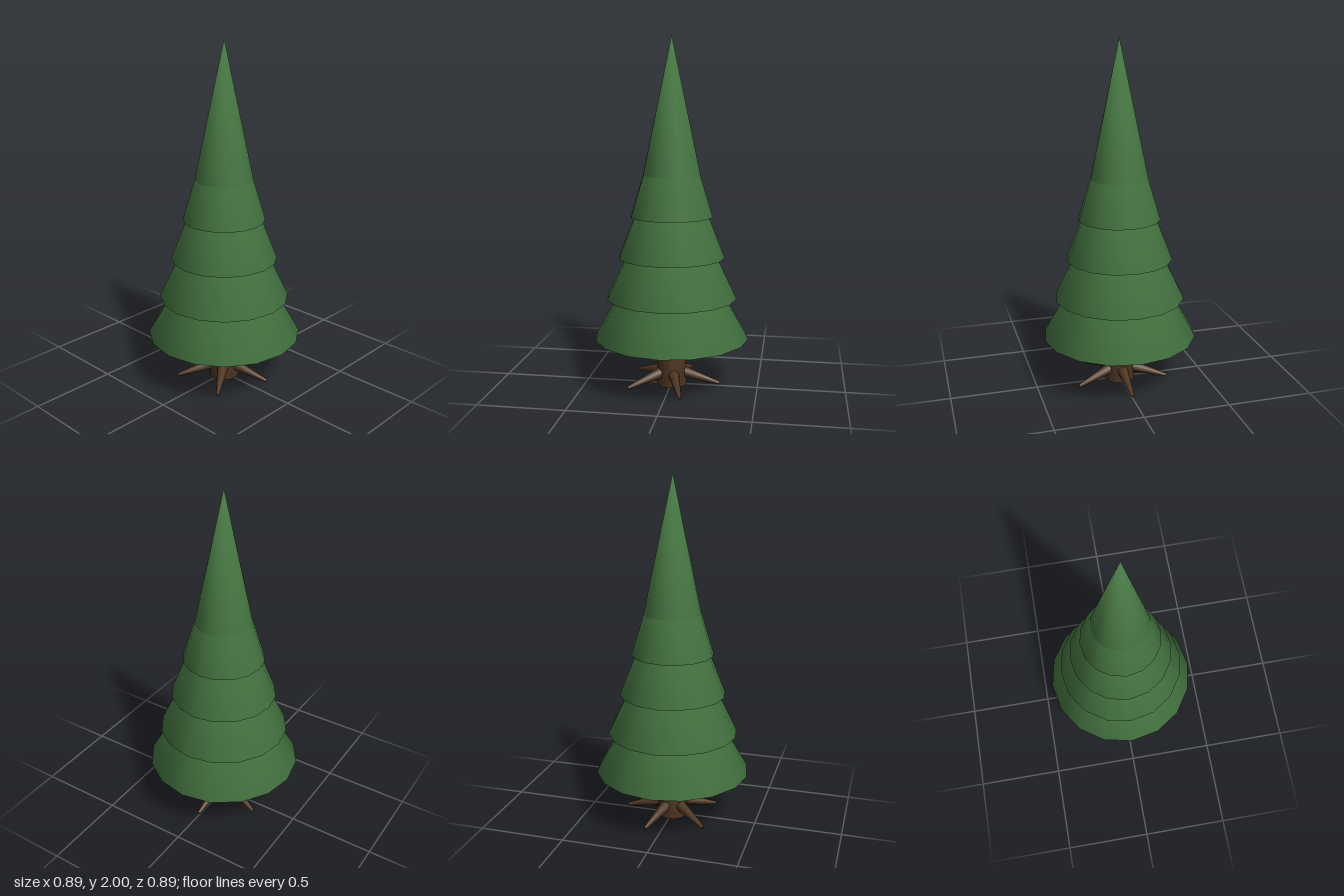
import * as THREE from 'three';
import { mergeVertices } from 'three/addons/utils/BufferGeometryUtils.js';

// Share vertices across seams and rims so the whole surface is smooth.
function smooth(geometry) {
  geometry.deleteAttribute('uv');
  geometry.deleteAttribute('normal');
  const merged = mergeVertices(geometry, 1e-4);
  merged.computeVertexNormals();
  return merged;
}

export function createModel() {
  const tree = new THREE.Group();
  tree.name = 'pineTree';

  const needles = new THREE.MeshStandardMaterial({ color: 0x4a7c46 });
  needles.name = 'needle green';
  const bark = new THREE.MeshStandardMaterial({ color: 0x4d3522 });
  bark.name = 'bark brown';

  function add(name, geometry, material) {
    const mesh = new THREE.Mesh(smooth(geometry), material);
    mesh.name = name;
    tree.add(mesh);
    return mesh;
  }

  // Foliage: five overlapping cones of equal height, narrowing upwards
  const coneHeight = 0.776;
  for (let i = 0; i < 5; i++) {
    const cone = new THREE.ConeGeometry(0.445 - 0.07 * i, coneHeight, 16);
    cone.translate(0, 0.288 + 0.234 * i + coneHeight / 2, 0);
    add(`foliageTier${i + 1}`, cone, needles);
  }

  // Trunk: slight taper, its top hidden inside the lowest tier
  const trunk = new THREE.CylinderGeometry(0.076, 0.088, 0.4, 16);
  trunk.translate(0, 0.2, 0);
  add('trunk', trunk, bark);

  // Roots: five tapered pegs sloping down and outwards
  const up = new THREE.Vector3(0, 1, 0);
  for (let i = 0; i < 5; i++) {
    const a = (i / 5) * Math.PI * 2;
    const start = new THREE.Vector3(Math.cos(a) * 0.05, 0.08, Math.sin(a) * 0.05);
    const end = new THREE.Vector3(Math.cos(a) * 0.28, 0.016, Math.sin(a) * 0.28);
    const direction = end.clone().sub(start);
    const root = new THREE.CylinderGeometry(0.01, 0.035, direction.length(), 10);
    const mesh = add(`root${i + 1}`, root, bark);
    mesh.position.copy(start).add(end).multiplyScalar(0.5);
    mesh.quaternion.setFromUnitVectors(up, direction.normalize());
  }

  return tree;
}
